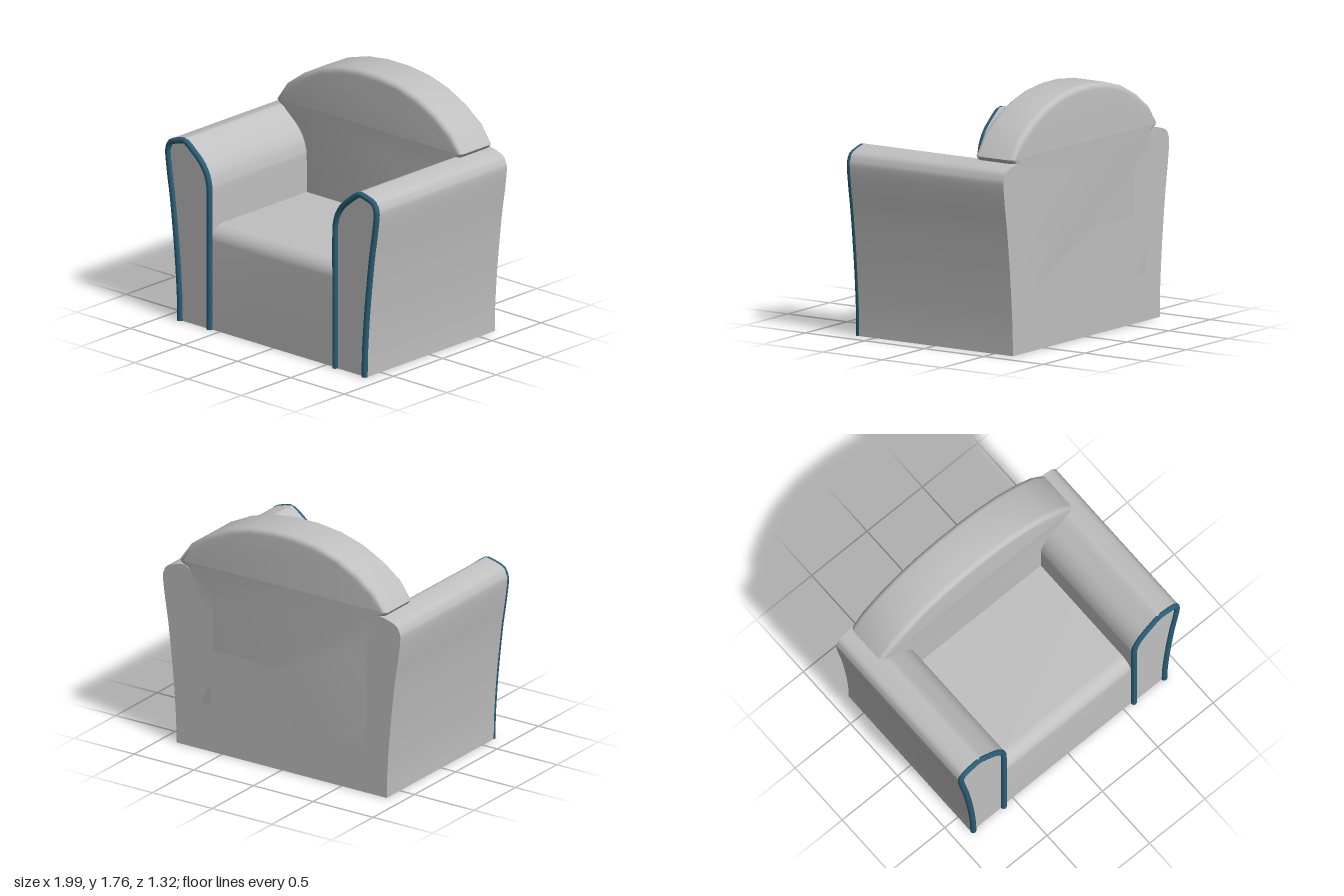
import * as THREE from 'three';
import { toCreasedNormals } from 'three/addons/utils/BufferGeometryUtils.js';

const BACK = -0.66, FRONT = 0.64;
const v2 = ([x, y]) => new THREE.Vector2(x, y);

// Arm outline, from the outer foot over the top to the inner foot
const ARM = new THREE.SplineCurve([
  [0.88, 0], [0.885, 0.2], [0.907, 0.5], [0.945, 0.85], [0.975, 1.05], [0.993, 1.2],
  [0.985, 1.255], [0.95, 1.303], [0.84, 1.336], [0.795, 1.33], [0.72, 1.275], [0.65, 1.213],
  [0.6, 1.14], [0.575, 1.06], [0.57, 0.98], [0.57, 0.6], [0.57, 0],
].map(v2));

function mesh(name, geometry, material) {
  const m = new THREE.Mesh(geometry, material);
  m.name = name;
  return m;
}

function extrude(points, depth, options = {}) {
  const geometry = new THREE.ExtrudeGeometry(new THREE.Shape(points), {
    depth, bevelEnabled: false, ...options,
  });
  return toCreasedNormals(geometry, 0.6);
}

function createArm(side, fabric, trim) {
  const arm = new THREE.Group();
  arm.name = side > 0 ? 'leftArm' : 'rightArm';

  // Padded arm body
  const outline = ARM.getPoints(64).map((p) => new THREE.Vector2(p.x * side, p.y));
  const body = mesh('armBody', extrude(outline, FRONT - BACK), fabric);
  body.position.z = BACK;
  arm.add(body);

  // Piping just inside the front edge
  const radius = 0.022, inset = 0.018;
  const path = [];
  for (let i = 0; i <= 48; i++) {
    const p = ARM.getPoint(i / 48), t = ARM.getTangent(i / 48);
    const y = i % 48 === 0 ? 0 : p.y + t.x * inset;
    path.push(new THREE.Vector3((p.x - t.y * inset) * side, y, FRONT + 0.002));
  }
  const curve = new THREE.CatmullRomCurve3(path);
  arm.add(mesh('armPiping', new THREE.TubeGeometry(curve, 110, radius, 10), trim));

  // Closed lower ends of the piping
  for (const end of [path[0], path[48]]) {
    const cap = mesh('pipingEnd', new THREE.CircleGeometry(radius, 10), trim);
    cap.rotation.x = Math.PI / 2;
    cap.position.copy(end);
    arm.add(cap);
  }
  return arm;
}

export function createModel() {
  const fabric = new THREE.MeshStandardMaterial({ color: 0xc0c0c0 });
  fabric.name = 'grey fabric';
  const trim = new THREE.MeshStandardMaterial({ color: 0x2a5f78 });
  trim.name = 'teal piping';

  const chair = new THREE.Group();
  chair.name = 'armchair';
  chair.add(createArm(1, fabric, trim), createArm(-1, fabric, trim));

  // Seat block with a rounded front edge, drawn from the side
  const r = 0.11, top = 0.755, front = FRONT - 0.005;
  const side = [v2([BACK, 0]), v2([front, 0])];
  for (let i = 0; i <= 10; i++) {
    const a = (i / 10) * Math.PI / 2;
    side.push(v2([front - r + r * Math.cos(a), top - r + r * Math.sin(a)]));
  }
  side.push(v2([BACK, top]));
  const seat = mesh('seat', extrude(side, 1.2), fabric);
  seat.rotation.y = -Math.PI / 2;
  seat.position.x = 0.6;
  chair.add(seat);

  // Backrest: arched crown resting on the arms, its lower part set between them
  const half = [
    [0.75, 0.3], [0.75, 1.1], [0.8, 1.31], [0.85, 1.34], [0.868, 1.365], [0.775, 1.495],
    [0.63, 1.6], [0.46, 1.685], [0.275, 1.738], [0.09, 1.76],
  ];
  const mirrored = half.map(([x, y]) => [-x, y]).reverse();
  const bevel = 0.04, thickness = 0.335;
  const back = mesh('backrest', extrude([...half, ...mirrored].map(v2), thickness - 2 * bevel, {
    bevelEnabled: true, bevelSize: bevel, bevelThickness: bevel, bevelOffset: -bevel, bevelSegments: 5,
  }), fabric);
  back.position.z = BACK + bevel;
  chair.add(back);

  return chair;
}
